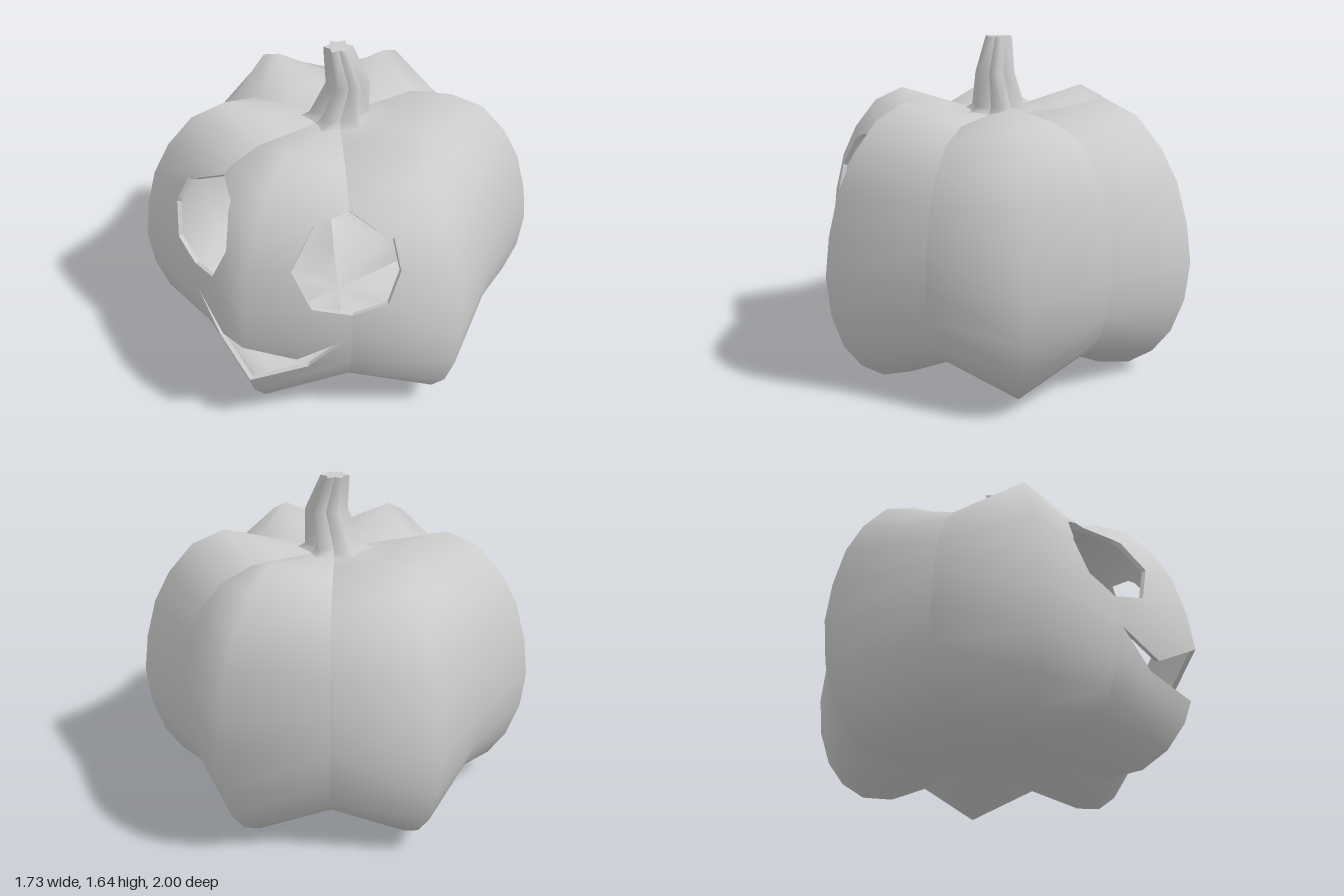
import * as THREE from 'three';

const material = new THREE.MeshStandardMaterial({ color: 0xcccccc });
const CENTRE_Y = 0.65;
const WALL = 0.975; // inner skin as a fraction of the outer

// Rows from bottom to top: [ridge radius, ridge y, groove radius, groove y, x offset]
const BODY = [
  [0, 0.12, 0, 0.12], [0.2, 0.11, 0.16, 0.125], [0.55, 0.005, 0.42, 0.13], [0.71, 0.03, 0.58, 0.15],
  [0.83, 0.11, 0.69, 0.2], [0.92, 0.23, 0.77, 0.29], [0.98, 0.4, 0.82, 0.42], [1, 0.59, 0.84, 0.59],
  [0.975, 0.78, 0.825, 0.78], [0.92, 0.98, 0.785, 0.95], [0.837, 1.14, 0.72, 1.09],
  [0.71, 1.29, 0.61, 1.2], [0.55, 1.365, 0.45, 1.26], [0.31, 1.3, 0.27, 1.265],
  [0.15, 1.275, 0.11, 1.27], [0, 1.27, 0, 1.27],
];
const STEM = [
  [0.2, 1.27, 0.14, 1.262, 0], [0.145, 1.3, 0.095, 1.3, 0.005],
  [0.105, 1.47, 0.07, 1.47, 0.05], [0.07, 1.645, 0.045, 1.645, 0],
];
const STEM_CAP = [[0.07, 1.645, 0.045, 1.645, 0], [0, 1.645, 0, 1.645, 0]];

// Face openings in the front plane, counter-clockwise
const EYE = [[0.32, 1.17], [0.21, 1.135], [0.165, 0.965], [0.26, 0.77], [0.42, 0.72], [0.56, 0.78], [0.59, 0.945], [0.535, 1.08]];
const MOUTH = [[0, 0.335], [0.24, 0.41], [0.4, 0.575], [0.2, 0.47], [0, 0.59], [-0.2, 0.47], [-0.4, 0.575], [-0.24, 0.41]];
const mirror = (loop) => loop.map(([x, y]) => [-x, y]).reverse();
const mouthHalf = [[0, 1, 3, 4], [1, 2, 3]].map((ids) => ids.map((i) => MOUTH[i]));
const CUTS = [EYE, mirror(EYE), ...mouthHalf, ...mouthHalf.map(mirror)];

// One lobe: groove, ridge, groove; the grooves stay creased between lobes
function lobe(rows, index) {
  const pos = [], idx = [];
  for (const [rr, ry, gr, gy, dx = 0] of rows) {
    for (let c = -1; c <= 1; c++) {
      const a = (index * Math.PI) / 3 + (c * Math.PI) / 6;
      const r = c ? gr : rr;
      pos.push(dx + r * Math.sin(a), c ? gy : ry, r * Math.cos(a));
    }
  }
  for (let j = 0; j < rows.length - 1; j++) {
    const a = j * 3, b = a + 3;
    idx.push(a, a + 1, b, a + 1, b + 1, b);
    idx.push(a + 1, a + 2, b + 2, a + 1, b + 2, b + 1);
  }
  const g = new THREE.BufferGeometry();
  g.setAttribute('position', new THREE.Float32BufferAttribute(pos, 3));
  g.setIndex(idx);
  g.computeVertexNormals();
  return g;
}

// Triangles as lists of [x, y, z, nx, ny, nz]
function toPolygons(geometry) {
  const g = geometry.toNonIndexed();
  const p = g.attributes.position.array, n = g.attributes.normal.array;
  const polys = [];
  for (let i = 0; i < p.length; i += 9) {
    polys.push([0, 3, 6].map((k) => [...p.slice(i + k, i + k + 3), ...n.slice(i + k, i + k + 3)]));
  }
  return polys;
}

// Split a polygon by the line a-b in the front plane: [left part, right part]
function split(poly, a, b) {
  const side = (v) => (b[0] - a[0]) * (v[1] - a[1]) - (b[1] - a[1]) * (v[0] - a[0]);
  const left = [], right = [];
  poly.forEach((v, i) => {
    const w = poly[(i + 1) % poly.length];
    const s = side(v), t = side(w);
    if (s >= 0) left.push(v);
    if (s <= 0) right.push(v);
    if (s * t < 0) {
      const m = v.map((q, k) => q + ((w[k] - q) * s) / (s - t));
      left.push(m);
      right.push(m);
    }
  });
  return [left, right];
}

// Remove a convex opening from a polygon
function subtract(poly, cut) {
  const kept = [];
  let rest = poly;
  for (let i = 0; i < cut.length; i++) {
    const [inside, outside] = split(rest, cut[i], cut[(i + 1) % cut.length]);
    if (outside.length > 2) kept.push(outside);
    if (inside.length < 3) return [poly];
    rest = inside;
  }
  return kept;
}

// Skin from polygons; the inner one is shrunk and turned to face inwards
function skin(polys, name, inner) {
  const pos = [], nor = [];
  const s = inner ? WALL : 1, f = inner ? -1 : 1;
  for (const poly of polys) {
    for (let i = 1; i < poly.length - 1; i++) {
      const tri = inner ? [poly[0], poly[i + 1], poly[i]] : [poly[0], poly[i], poly[i + 1]];
      for (const [x, y, z, nx, ny, nz] of tri) {
        pos.push(x * s, CENTRE_Y + (y - CENTRE_Y) * s, z * s);
        nor.push(nx * f, ny * f, nz * f);
      }
    }
  }
  const g = new THREE.BufferGeometry();
  g.setAttribute('position', new THREE.Float32BufferAttribute(pos, 3));
  g.setAttribute('normal', new THREE.Float32BufferAttribute(nor, 3));
  return named(g, name);
}

function named(geometry, name) {
  const mesh = new THREE.Mesh(geometry, material);
  mesh.name = name;
  return mesh;
}

// Cut edge joining the outer and inner skins around an opening
function rim(loop, targets, name) {
  const ray = new THREE.Raycaster();
  const points = [];
  loop.forEach(([x, y], i) => {
    const [u, v] = loop[(i + 1) % loop.length];
    for (let k = 0; k < 8; k++) {
      const px = x + ((u - x) * k) / 8, py = y + ((v - y) * k) / 8;
      ray.set(new THREE.Vector3(px + 1e-5, py, 5), new THREE.Vector3(0, 0, -1));
      const hit = ray.intersectObjects(targets)[0];
      if (hit) points.push([px, py, hit.point.z]);
    }
  });
  const shrink = ([x, y, z]) => [x * WALL, CENTRE_Y + (y - CENTRE_Y) * WALL, z * WALL];
  const pos = [];
  points.forEach((p, i) => {
    const q = points[(i + 1) % points.length];
    pos.push(...p, ...q, ...shrink(q), ...p, ...shrink(q), ...shrink(p));
  });
  const g = new THREE.BufferGeometry();
  g.setAttribute('position', new THREE.Float32BufferAttribute(pos, 3));
  g.computeVertexNormals();
  return named(g, name);
}

export function createModel() {
  const model = new THREE.Group();
  model.name = 'carvedPumpkin';

  // Hollow ribbed body with eyes and mouth cut through the front
  const lobes = [0, 1, 2, 3, 4, 5].map((i) => lobe(BODY, i));
  let polys = lobes.flatMap(toPolygons);
  for (const cut of CUTS) {
    polys = polys.flatMap((p) => (p.reduce((sum, v) => sum + v[2], 0) > 0 ? subtract(p, cut) : [p]));
  }
  model.add(skin(polys, 'outerSkin', false), skin(polys, 'innerSkin', true));

  // Rims of the openings
  const targets = lobes.map((g) => named(g, 'lobe'));
  model.add(rim(EYE, targets, 'leftEyeRim'), rim(mirror(EYE), targets, 'rightEyeRim'), rim(MOUTH, targets, 'mouthRim'));

  // Bent, star-shaped stem
  const stem = new THREE.Group();
  stem.name = 'stem';
  for (let i = 0; i < 6; i++) {
    stem.add(named(lobe(STEM, i), 'stemRib'), named(lobe(STEM_CAP, i), 'stemTop'));
  }
  model.add(stem);
  return model;
}
